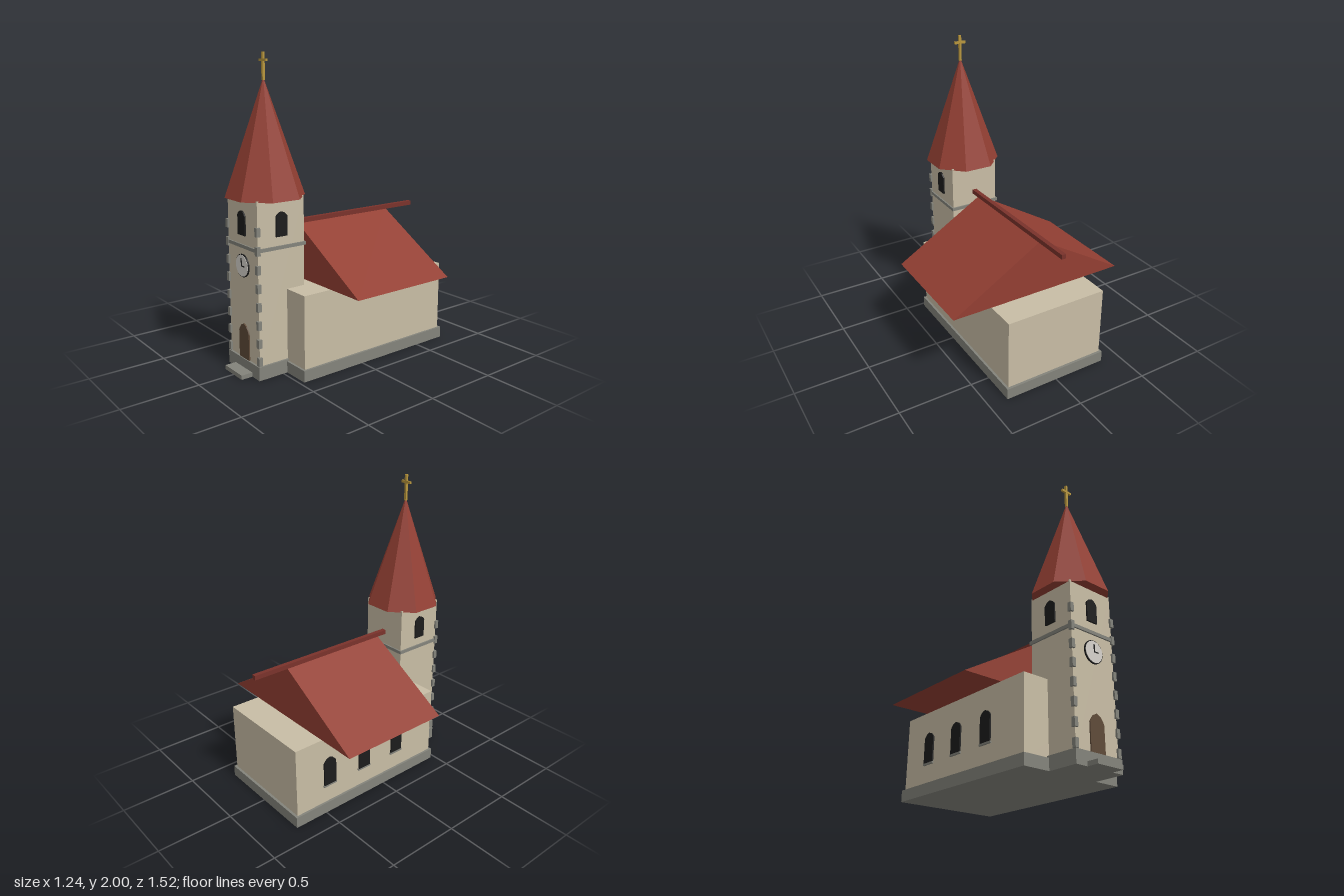
import * as THREE from 'three';

const mat = (color) => new THREE.MeshStandardMaterial({ color, flatShading: true });
const wall = mat(0xc8bda5), stone = mat(0x83837b), roofRed = mat(0x933f33), ridgeRed = mat(0x7a322b);
const glass = mat(0x1c1c1c), wood = mat(0x5e4a38), gold = mat(0xb8963c), dial = mat(0xd6d2cc);

const TOWER_Z = 0.495, TOWER_HALF = 0.171;

export function createModel() {
  const model = new THREE.Group();

  function add(name, geometry, material, parent = model) {
    const mesh = new THREE.Mesh(geometry, material);
    mesh.name = name;
    parent.add(mesh);
    return mesh;
  }

  // Box given by its limits along each axis
  function box(name, x0, x1, y0, y1, z0, z1, material, parent) {
    const mesh = add(name, new THREE.BoxGeometry(x1 - x0, y1 - y0, z1 - z0), material, parent);
    mesh.position.set((x0 + x1) / 2, (y0 + y1) / 2, (z0 + z1) / 2);
    return mesh;
  }

  // Thin panel with a faceted arched top, standing on its own origin and facing +z
  function archPanel(name, halfWidth, shoulder, height, depth, material) {
    const rise = height - shoulder;
    const right = [[1, 0], [1, shoulder], [0.85, shoulder + rise * 0.3], [0.5, shoulder + rise * 0.75]];
    const left = right.map(([x, y]) => [-x, y]).reverse();
    const points = [...right, [0, height], ...left].map(([x, y]) => new THREE.Vector2(x * halfWidth, y));
    const geometry = new THREE.ExtrudeGeometry(new THREE.Shape(points), { depth, bevelEnabled: false });
    return add(name, geometry, material);
  }

  // Nave with its plinth
  box('navePlinth', -0.37, 0.37, 0, 0.075, -0.737, 0.472, stone);
  box('naveWalls', -0.355, 0.355, 0.04, 0.55, -0.72, 0.457, wall);

  // Solid gabled roof and its long ridge beam
  const gable = new THREE.Shape([[-0.62, 0.55], [0.62, 0.55], [0, 0.92]].map(([x, y]) => new THREE.Vector2(x, y)));
  const roof = add('naveRoof', new THREE.ExtrudeGeometry(gable, { depth: 0.77, bevelEnabled: false }), roofRed);
  roof.position.z = -0.517;
  box('roofRidge', -0.015, 0.015, 0.912, 0.942, -0.76, 0.49, ridgeRed);

  // Arched windows along one nave wall
  for (const z of [-0.46, -0.17, 0.12]) {
    const pane = archPanel('naveWindow', 0.047, 0.165, 0.2, 0.012, glass);
    pane.rotation.y = -Math.PI / 2;
    pane.position.set(-0.353, 0.205, z);
    box('windowSill', -0.366, -0.35, 0.195, 0.207, z - 0.053, z + 0.053, stone);
  }

  // Tower body, plinth, step and string course
  const square = (name, half, y0, y1, material) =>
    box(name, -half, half, y0, y1, TOWER_Z - half, TOWER_Z + half, material);
  square('towerPlinth', 0.185, 0, 0.088, stone);
  square('towerWalls', TOWER_HALF, 0.04, 1.13, wall);
  square('stringCourse', 0.181, 0.815, 0.837, stone);
  box('doorStep', -0.1, 0.1, 0, 0.028, 0.6, 0.757, stone);

  // Corner stones on the front edges of the tower
  const front = TOWER_Z + TOWER_HALF;
  for (const side of [-1, 1]) {
    for (let i = 0; i < 8; i++) {
      const quoin = add('cornerStone', new THREE.BoxGeometry(0.026, 0.056, 0.026), stone);
      quoin.position.set(side * TOWER_HALF, 0.12 + i * 0.1175, front);
    }
  }

  // Door and belfry windows on the front and both sides
  archPanel('door', 0.057, 0.175, 0.233, 0.01, wood).position.set(0, 0.088, front - 0.002);
  for (const angle of [-Math.PI / 2, 0, Math.PI / 2]) {
    const pane = archPanel('belfryWindow', 0.041, 0.125, 0.155, 0.012, glass);
    pane.rotation.y = angle;
    const reach = TOWER_HALF - 0.002;
    pane.position.set(Math.sin(angle) * reach, 0.895, TOWER_Z + Math.cos(angle) * reach);
  }

  // Clock: dark rim, pale face and two hands
  const clock = new THREE.Group();
  clock.name = 'clock';
  clock.position.set(0, 0.7, front);
  model.add(clock);
  const disc = (name, radius, depth, material) => {
    const geometry = new THREE.CylinderGeometry(radius, radius, depth, 24).rotateX(Math.PI / 2);
    add(name, geometry, material, clock).position.z = depth / 2;
  };
  disc('clockRim', 0.074, 0.009, glass);
  disc('clockFace', 0.069, 0.012, dial);
  box('minuteHand', -0.003, 0.003, -0.003, 0.05, 0.01, 0.016, glass, clock);
  box('hourHand', -0.003, 0.034, -0.003, 0.003, 0.01, 0.016, glass, clock);

  // Eight-sided spire with flat sides to the front and back
  const spireRadius = 0.235 / Math.cos(Math.PI / 8);
  const spire = add('spire', new THREE.ConeGeometry(spireRadius, 0.73, 8).rotateY(Math.PI / 8), roofRed);
  spire.position.set(0, 1.12 + 0.365, TOWER_Z);

  // Cross on the tip
  box('crossUpright', -0.008, 0.008, 1.83, 2, TOWER_Z - 0.008, TOWER_Z + 0.008, gold);
  box('crossArm', -0.039, 0.039, 1.943, 1.959, TOWER_Z - 0.007, TOWER_Z + 0.007, gold);

  return model;
}
